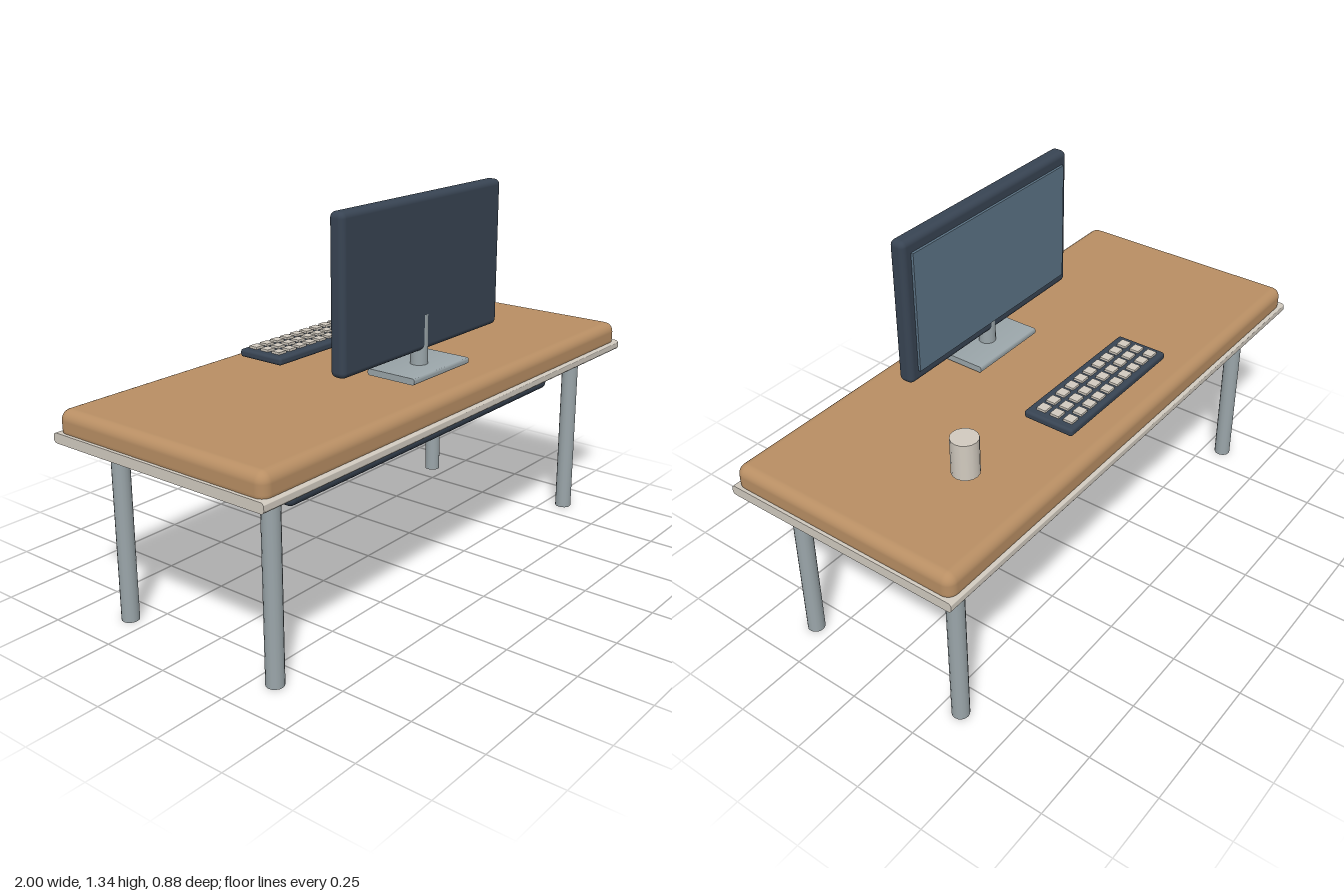
import * as THREE from 'three';
import { toCreasedNormals } from 'three/addons/utils/BufferGeometryUtils.js';
import { RoundedBoxGeometry } from 'three/addons/geometries/RoundedBoxGeometry.js';

const material = (name, color) => {
  const m = new THREE.MeshStandardMaterial({ color });
  m.name = name;
  return m;
};

// Slab with rounded long edges and square ends, running along x
function edgeRoundedSlab(length, height, depth, r) {
  const w = depth / 2, h = height / 2;
  const s = new THREE.Shape();
  s.moveTo(-w + r, -h);
  s.lineTo(w - r, -h);
  s.absarc(w - r, -h + r, r, -Math.PI / 2, 0);
  s.absarc(w - r, h - r, r, 0, Math.PI / 2);
  s.absarc(-w + r, h - r, r, Math.PI / 2, Math.PI);
  s.absarc(-w + r, -h + r, r, Math.PI, Math.PI * 1.5);
  const g = new THREE.ExtrudeGeometry(s, { depth: length, bevelEnabled: false, curveSegments: 5 });
  g.translate(0, 0, -length / 2).rotateY(Math.PI / 2);
  return toCreasedNormals(g, 0.7);
}

export function createModel() {
  const wood = material('wood', 0xb98f64);
  const cream = material('cream', 0xd2cbc0);
  const dark = material('dark slate', 0x384453);
  const metal = material('grey metal', 0x9ba6aa);
  const glass = material('screen blue', 0x5c7486);

  const desk = new THREE.Group();
  desk.name = 'desk';
  const add = (name, geometry, mat, x, y, z, parent = desk) => {
    const mesh = new THREE.Mesh(geometry, mat);
    mesh.name = name;
    mesh.position.set(x, y, z);
    parent.add(mesh);
    return mesh;
  };
  const group = (name) => {
    const g = new THREE.Group();
    g.name = name;
    desk.add(g);
    return g;
  };

  // Table top, under plate and legs
  add('tableTop', new RoundedBoxGeometry(1.98, 0.1, 0.86, 4, 0.035), wood, 0, 0.692, 0);
  add('underPlate', edgeRoundedSlab(2, 0.034, 0.88, 0.012), cream, 0, 0.65, 0);
  const legGeometry = new THREE.CylinderGeometry(0.03, 0.03, 0.64, 16);
  for (const x of [-0.846, 0.846])
    for (const z of [-0.32, 0.32]) add('leg', legGeometry, metal, x, 0.32, z);
  add('cableTray', new RoundedBoxGeometry(1.46, 0.066, 0.152, 4, 0.025), dark, 0, 0.547, 0.216);

  // Monitor, with its screen toward the back
  const monitor = group('monitor');
  add('monitorCase', new RoundedBoxGeometry(0.86, 0.516, 0.057, 4, 0.02), dark, 0, 1.082, 0.216, monitor);
  add('screen', new THREE.BoxGeometry(0.79, 0.43, 0.009), glass, 0, 1.082, 0.181, monitor);
  add('standNeck', new THREE.CylinderGeometry(0.03, 0.03, 0.18, 20), metal, 0, 0.855, 0.216, monitor);
  add('standBase', edgeRoundedSlab(0.31, 0.022, 0.19, 0.008), metal, 0, 0.763, 0.216, monitor);

  // Keyboard
  const keyboard = group('keyboard');
  add('keyboardBody', new RoundedBoxGeometry(0.56, 0.028, 0.187, 3, 0.01), dark, 0, 0.772, -0.246, keyboard);
  const keyGeometry = new THREE.BoxGeometry(0.036, 0.01, 0.034);
  for (let row = 0; row < 3; row++)
    for (let col = 0; col < 10; col++)
      add('key', keyGeometry, cream, (col - 4.5) * 0.052, 0.789, -0.252 + (row - 1) * 0.052, keyboard);

  // Cup
  add('cup', new THREE.CylinderGeometry(0.046, 0.046, 0.13, 16), cream, 0.602, 0.819, -0.174);

  return desk;
}
